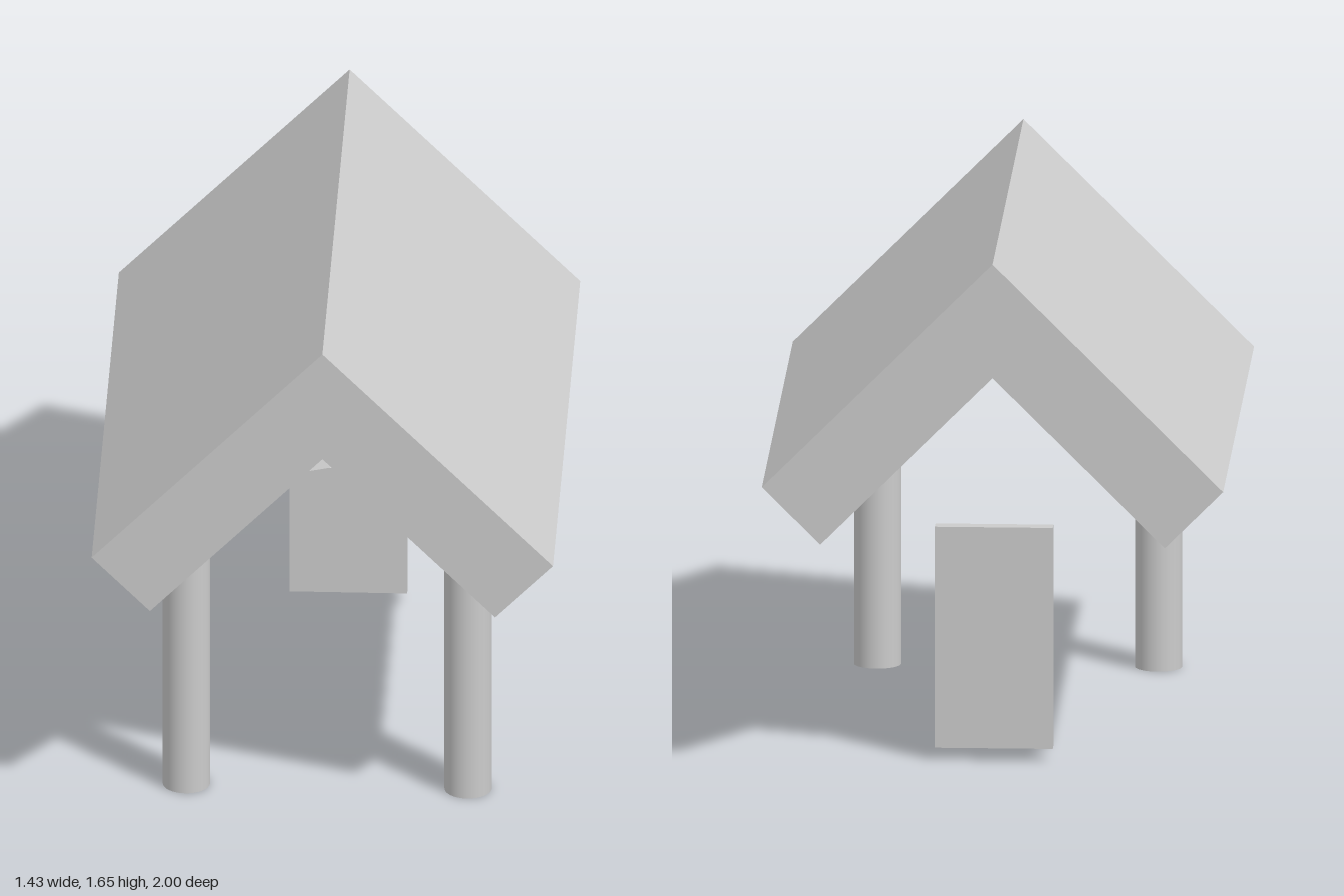
import * as THREE from 'three';

const material = new THREE.MeshStandardMaterial({ color: 0xcccccc });
const flat = new THREE.MeshStandardMaterial({ color: 0xcccccc, flatShading: true });

function addPart(group, name, geometry, mat, x = 0, y = 0, z = 0) {
  const mesh = new THREE.Mesh(geometry, mat);
  mesh.name = name;
  mesh.position.set(x, y, z);
  group.add(mesh);
}

// Extrude an outline of [x, y] points, centred on z = 0
function prism(points, depth) {
  const shape = new THREE.Shape(points.map(([x, y]) => new THREE.Vector2(x, y)));
  return new THREE.ExtrudeGeometry(shape, { depth, bevelEnabled: false }).translate(0, 0, -depth / 2);
}

export function createModel() {
  const group = new THREE.Group();
  const columnX = 0.435, columnZ = 0.657;

  // Thick gabled roof, open at both ends
  addPart(group, 'roof', prism([
    [0, 1.65], [-0.713, 0.937], [-0.533, 0.757],
    [0, 1.29], [0.533, 0.757], [0.713, 0.937],
  ], 2), flat);

  // Front columns, running up into the roof
  const columnHeight = 0.95;
  for (const [name, side] of [['leftColumn', 1], ['rightColumn', -1]]) {
    addPart(group, name, new THREE.CylinderGeometry(0.073, 0.073, columnHeight, 32),
      material, side * columnX, columnHeight / 2, columnZ);
  }

  // Faceted half-ring arch between the columns
  const arc = (radius) => Array.from({ length: 9 }, (_, i) => {
    const a = (i / 8) * Math.PI;
    return [radius * Math.cos(a), radius * Math.sin(a)];
  });
  addPart(group, 'arch', prism([...arc(0.48), ...arc(0.44).reverse()], 0.07),
    flat, 0.01, 0.63, columnZ);

  // Upright panel at the back
  addPart(group, 'backPanel', new THREE.BoxGeometry(0.363, 0.7, 0.046), flat, 0.012, 0.39, -0.64);

  return group;
}
